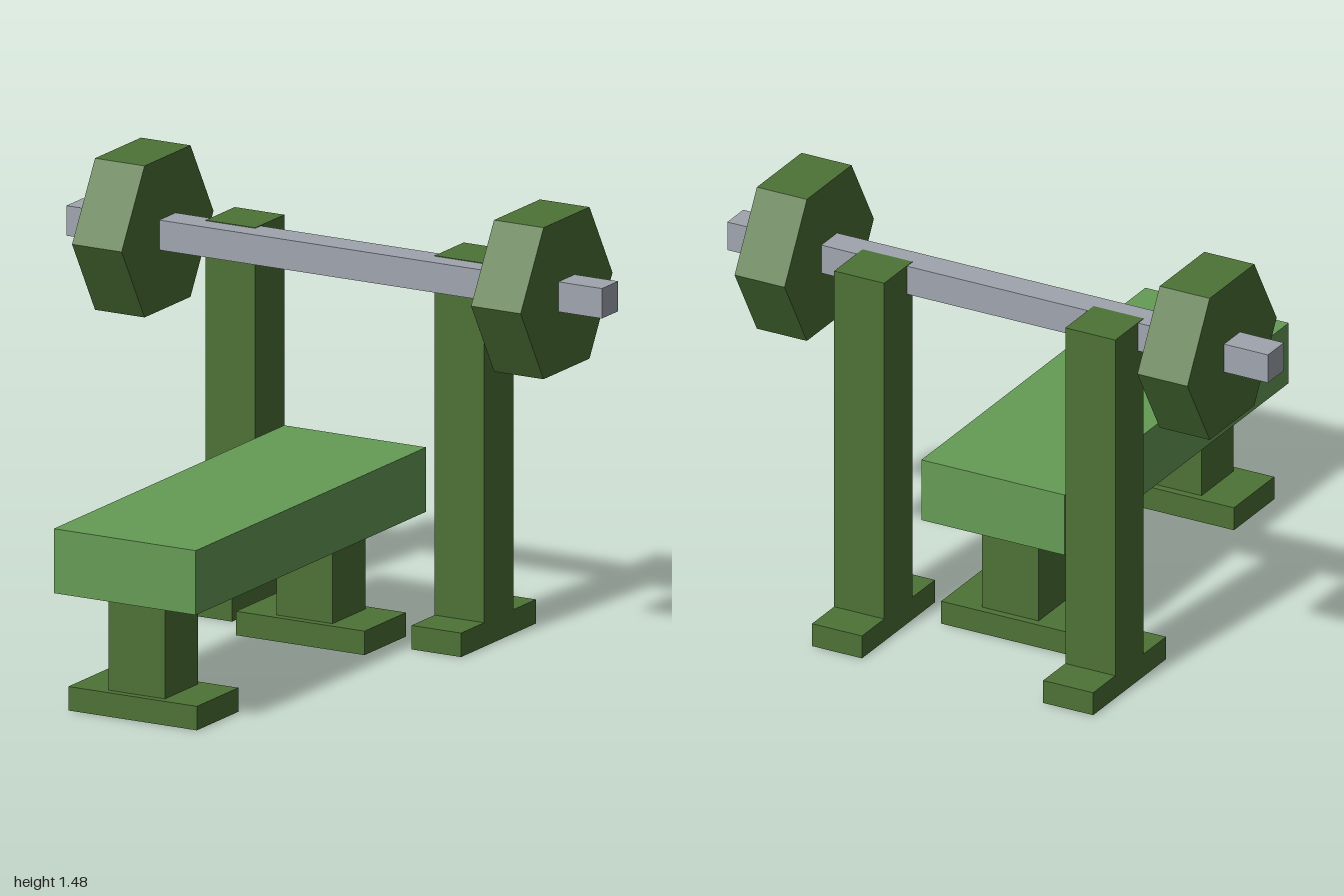
import * as THREE from 'three';

export function createModel() {
  const model = new THREE.Group();
  model.name = 'weightBench';

  const material = (name, color) => {
    const m = new THREE.MeshStandardMaterial({ color });
    m.name = name;
    return m;
  };
  const padGreen = material('padGreen', 0x659c55);
  const frameGreen = material('frameGreen', 0x4d7236);
  const steel = material('steel', 0xa0a5ae);

  const add = (name, geometry, mat) => {
    const mesh = new THREE.Mesh(geometry, mat);
    mesh.name = name;
    model.add(mesh);
    return mesh;
  };

  // Box given by its lower and upper limits on each axis
  const box = (name, mat, [x0, x1], [y0, y1], [z0, z1]) =>
    add(name, new THREE.BoxGeometry(x1 - x0, y1 - y0, z1 - z0), mat)
      .position.set((x0 + x1) / 2, (y0 + y1) / 2, (z0 + z1) / 2);

  // Padded bench on two short legs with wide feet
  box('benchPad', padGreen, [-0.265, 0.265], [0.4, 0.615], [-0.6, 0.865]);
  for (const [end, z] of [['front', 0.683], ['back', -0.383]]) {
    box(end + 'Leg', frameGreen, [-0.105, 0.105], [0.08, 0.4], [z - 0.105, z + 0.105]);
    box(end + 'LegFoot', frameGreen, [-0.24, 0.24], [0, 0.08], [z - 0.132, z + 0.132]);
  }

  // Square bar
  const barY = 1.228, barZ = -0.518;
  box('bar', steel, [-1, 1], [barY - 0.05, barY + 0.05], [barZ - 0.052, barZ + 0.052]);

  // Uprights with feet, and hexagonal weight plates, on both sides
  for (const [side, s] of [['left', 1], ['right', -1]]) {
    const xs = [s * 0.335, s * 0.52].sort((a, b) => a - b);
    box(side + 'Upright', frameGreen, xs, [0.08, 1.28], [-0.72, -0.535]);
    box(side + 'UprightFoot', frameGreen, xs, [0, 0.08], [-0.865, -0.388]);

    // Axis turned to x, corners pointing to the front and back
    const plate = new THREE.CylinderGeometry(0.292, 0.292, 0.185, 6).toNonIndexed();
    plate.rotateZ(Math.PI / 2);
    plate.computeVertexNormals();
    add(side + 'WeightPlate', plate, frameGreen).position.set(s * 0.745, barY, barZ);
  }

  return model;
}
